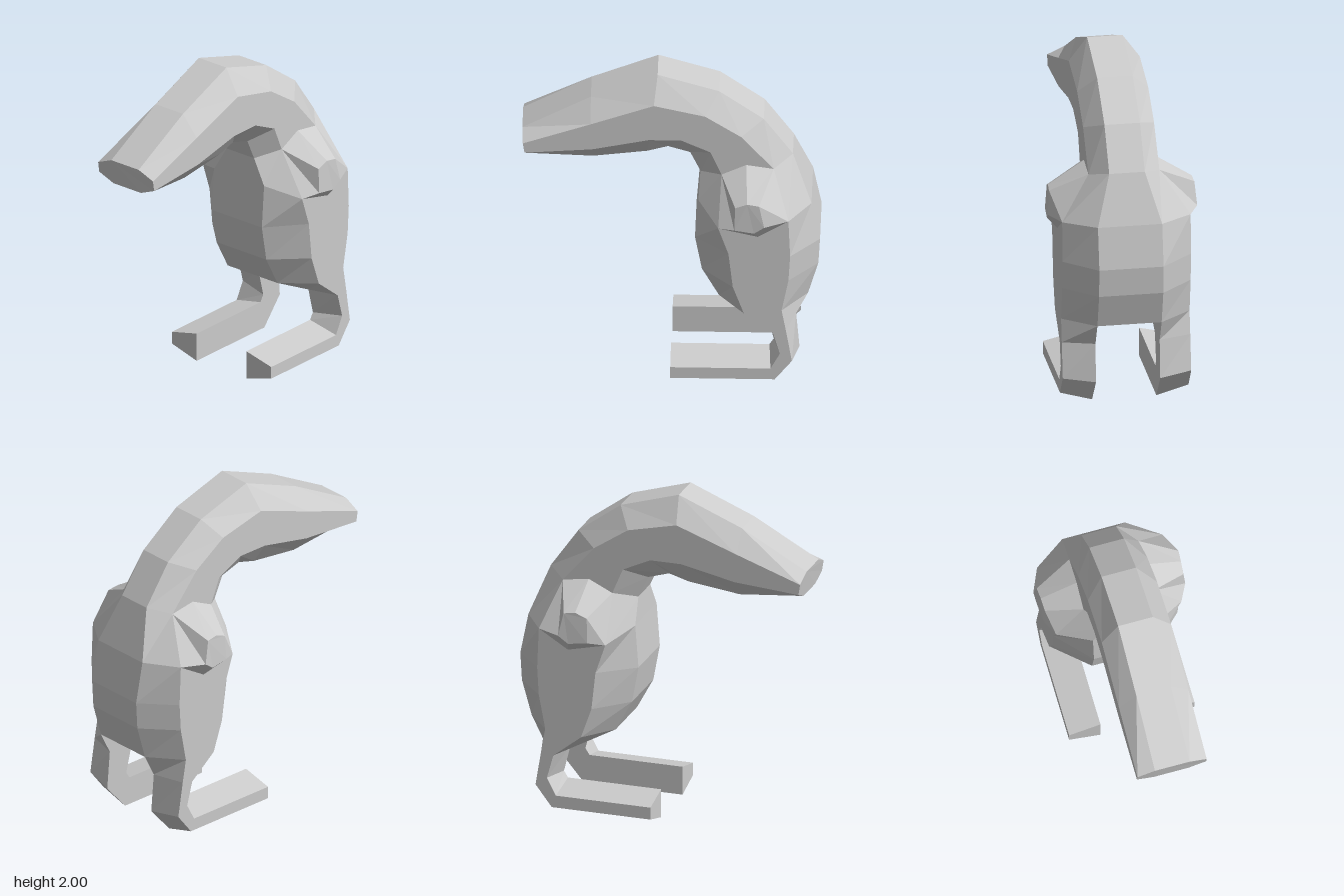
import * as THREE from 'three';

// Faceted surface through a list of rings; each ring is a list of [x, y, z]
function loft(rings, capStart, capEnd) {
  const out = [];
  const tri = (a, b, c) => out.push(...a, ...b, ...c);
  for (let i = 0; i < rings.length - 1; i++) {
    const p = rings[i], q = rings[i + 1], n = p.length;
    for (let j = 0; j < n; j++) {
      const k = (j + 1) % n;
      tri(p[j], p[k], q[k]);
      tri(p[j], q[k], q[j]);
    }
  }
  const fan = (r) => {
    for (let j = 1; j < r.length - 1; j++) tri(r[0], r[j], r[j + 1]);
  };
  if (capStart) fan([...rings[0]].reverse());
  if (capEnd) fan(capEnd);
  const g = new THREE.BufferGeometry();
  g.setAttribute('position', new THREE.Float32BufferAttribute(out, 3));
  g.computeVertexNormals();
  return g;
}

const mirror = (ring) => ring.map(([x, y, z]) => [-x, y, z]).reverse();

export function createModel() {
  const group = new THREE.Group();
  const grey = new THREE.MeshStandardMaterial({ color: 0xcccccc });
  const add = (name, geometry) => {
    const mesh = new THREE.Mesh(geometry, grey);
    mesh.name = name;
    group.add(mesh);
  };

  // Neck and body: half widths, then [z, y] of spine, upper side, lower side and belly edges
  const N = [0.105, 0.21], W = [0.19, 0.38];
  const sections = [
    [N, [0.87, 1.62], [0.865, 1.575], [0.855, 1.51], [0.85, 1.465]],
    [N, [0.47, 1.84], [0.47, 1.715], [0.46, 1.54], [0.455, 1.425]],
    [N, [0.08, 2.0], [0.10, 1.85], [0.13, 1.61], [0.14, 1.465]],
    [N, [-0.28, 1.89], [-0.20, 1.78], [-0.06, 1.61], [0.02, 1.50]],
    [N, [-0.54, 1.70], [-0.41, 1.64], [-0.23, 1.53], [-0.11, 1.46]],
    [N, [-0.71, 1.46], [-0.60, 1.42], [-0.295, 1.375], [-0.17, 1.33]],
    [W, [-0.82, 1.17], [-0.69, 1.165], [-0.28, 1.11], [-0.16, 1.18]],
    [W, [-0.87, 0.92], [-0.70, 0.92], [-0.34, 0.93], [-0.14, 0.92]],
    [W, [-0.86, 0.75], [-0.69, 0.75], [-0.365, 0.70], [-0.18, 0.70]],
    [W, [-0.80, 0.54], [-0.65, 0.54], [-0.43, 0.515], [-0.28, 0.515]],
  ];
  const bodyRings = sections.map(([[a, b], ...pts]) => {
    const half = pts.map(([z, y], i) => [i === 0 || i === 3 ? a : b, y, z]);
    return [...half, ...mirror(half)];
  });
  // The underside closes only between the legs
  const last = bodyRings[bodyRings.length - 1];
  add('body', loft(bodyRings, true, [last[0], last[3], last[4], last[7]]));

  // Leg and foot: [z, y] of inner back, outer back, outer front, inner front
  const legRings = [
    [[-0.80, 0.54], [-0.65, 0.54], [-0.43, 0.515], [-0.28, 0.515]],
    [[-0.73, 0.40], [-0.675, 0.40], [-0.60, 0.38], [-0.56, 0.375]],
    [[-0.75, 0.165], [-0.71, 0.185], [-0.64, 0.235], [-0.60, 0.215]],
    [[-0.61, 0], [-0.61, 0.055], [-0.585, 0.13], [-0.575, 0.175]],
    [[0, 0], [0, 0.055], [0, 0.13], [0, 0.175]],
  ].map((r) => r.map(([z, y], i) => [i === 0 || i === 3 ? 0.19 : 0.38, y, z]));

  // Shoulder stump: six-sided base narrowing to a small cap
  const armRings = [
    [[0.21, 1.445, -0.44], [0.21, 1.375, -0.295], [0.38, 1.11, -0.28],
      [0.38, 1.055, -0.51], [0.38, 1.165, -0.69], [0.21, 1.42, -0.60]],
    [[0.425, 1.31, -0.45], [0.42, 1.28, -0.38], [0.43, 1.13, -0.375],
      [0.437, 1.115, -0.49], [0.442, 1.16, -0.55], [0.43, 1.30, -0.52]],
  ];

  for (const [part, rings] of [['Leg', legRings], ['Shoulder', armRings]]) {
    const flipped = rings.map(mirror);
    add('left' + part, loft(rings, false, rings[rings.length - 1]));
    add('right' + part, loft(flipped, false, flipped[flipped.length - 1]));
  }
  return group;
}
